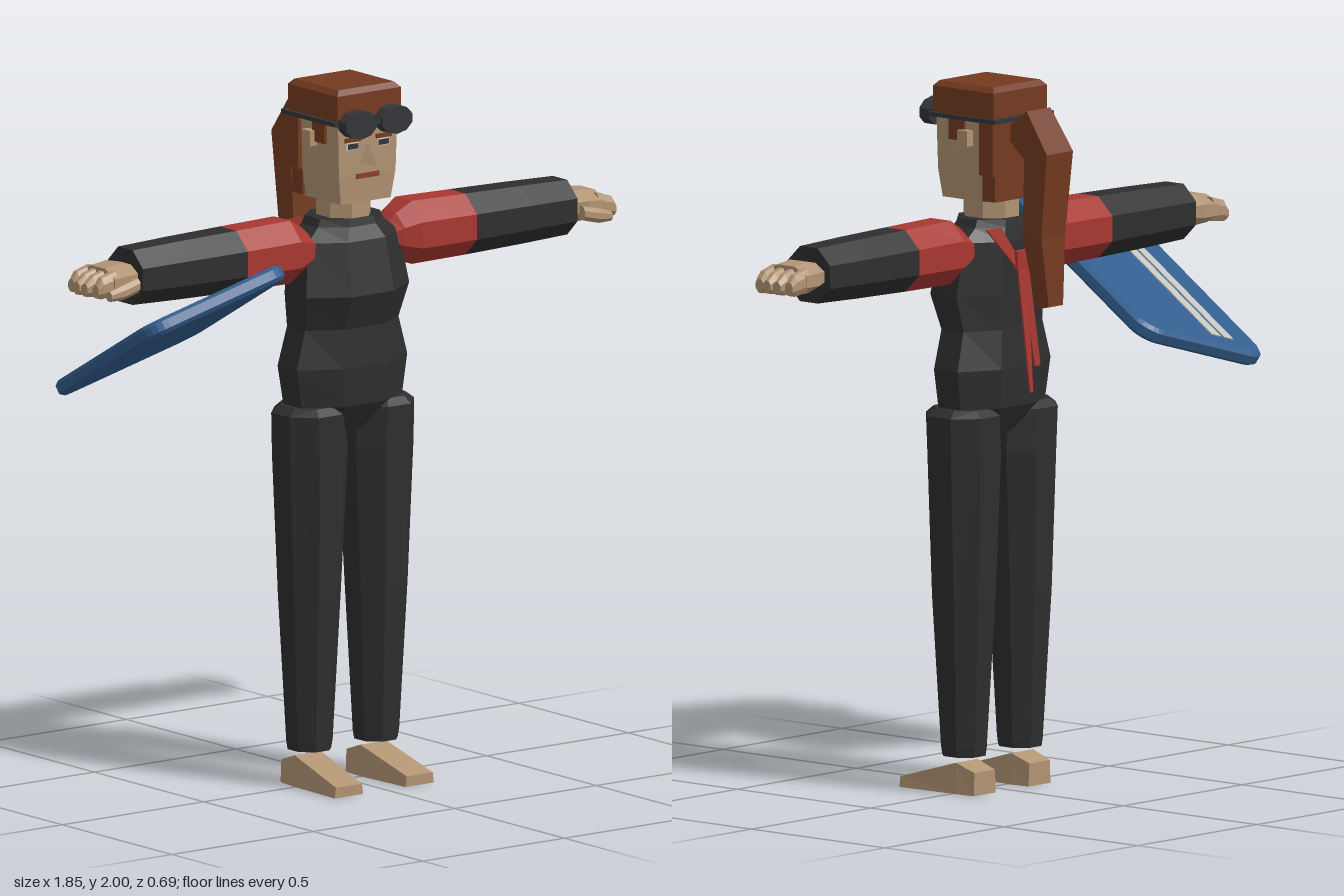
import * as THREE from 'three';

const mat = (name, color) => Object.assign(new THREE.MeshStandardMaterial({ color }), { name });
const M = {
  black: mat('blackCloth', 0x2e2e2f),
  red: mat('redCloth', 0xa83730),
  skin: mat('skin', 0xb29474),
  hair: mat('hairBrown', 0x743a20),
  blue: mat('boardBlue', 0x335e8e),
  grey: mat('stripeGrey', 0xc4c4c0),
  goggle: mat('goggleDark', 0x333538),
  mouth: mat('lipRed', 0x8c3f28),
  white: mat('eyeWhite', 0xcfcac0),
};

// Flat-shaded skin over a list of rings with equal point counts, capped at both ends
function loft(rings) {
  const tris = [], n = rings[0].length;
  for (let i = 0; i < rings.length - 1; i++)
    for (let j = 0; j < n; j++) {
      const k = (j + 1) % n, [a, b] = [rings[i], rings[i + 1]];
      tris.push([a[j], a[k], b[k]], [a[j], b[k], b[j]]);
    }
  const end = rings[rings.length - 1];
  for (let j = 1; j < n - 1; j++)
    tris.push([rings[0][0], rings[0][j + 1], rings[0][j]], [end[0], end[j], end[j + 1]]);
  // turn the faces outward whatever the ring direction
  const v = (p) => new THREE.Vector3(...p);
  let volume = 0;
  for (const [a, b, c] of tris) volume += v(a).dot(v(b).cross(v(c)));
  const pos = tris.flatMap(([a, b, c]) => (volume < 0 ? [a, c, b] : [a, b, c]).flat());
  const g = new THREE.BufferGeometry();
  g.setAttribute('position', new THREE.Float32BufferAttribute(pos, 3));
  g.computeVertexNormals();
  return g;
}

// Octagon with flat sides at +-hu and +-hv
const octagon = (hu, hv) => Array.from({ length: 8 }, (_, i) => {
  const a = (i + 0.5) * Math.PI / 4, c = Math.cos(Math.PI / 8);
  return [hu * Math.cos(a) / c, hv * Math.sin(a) / c];
});
const ringY = (y, cx, hx, zf, zb) =>
  octagon(hx, (zf - zb) / 2).map(([u, w]) => [cx + u, y, (zf + zb) / 2 + w]);
const ringX = (x, cy, hy, hz) => octagon(hy, hz).map(([u, w]) => [x, cy + u, w]);
const rectY = (y, hx, zf, zb) => [[-hx, y, zb], [hx, y, zb], [hx, y, zf], [-hx, y, zf]];

export function createModel() {
  const model = new THREE.Group();
  model.name = 'boarder';
  const body = new THREE.Group();
  body.name = 'body';
  body.position.x = -0.009;
  model.add(body);

  const add = (name, geometry, material, parent = body) => {
    const mesh = new THREE.Mesh(geometry, material);
    mesh.name = name;
    parent.add(mesh);
    return mesh;
  };
  const box = (name, material, x0, x1, y0, y1, z0, z1) => {
    const mesh = add(name, new THREE.BoxGeometry(x1 - x0, y1 - y0, z1 - z0), material);
    mesh.position.set((x0 + x1) / 2, (y0 + y1) / 2, (z0 + z1) / 2);
    return mesh;
  };

  // Torso and neck
  add('torso', loft([
    [1.01, 0.08, 0.05, -0.05], [1.09, 0.178, 0.1, -0.1], [1.2, 0.195, 0.105, -0.108],
    [1.31, 0.165, 0.1, -0.1], [1.41, 0.182, 0.138, -0.1], [1.56, 0.16, 0.11, -0.102],
    [1.598, 0.115, 0.09, -0.095], [1.62, 0.105, 0.085, -0.09],
  ].map(([y, hx, zf, zb]) => ringY(y, 0, hx, zf, zb))), M.black);
  add('neck', loft([ringY(1.59, 0, 0.072, 0.08, -0.075), ringY(1.69, 0, 0.07, 0.08, -0.075)]), M.skin);

  for (const [side, s] of [['left', 1], ['right', -1]]) {
    // Legs and feet
    add(side + 'Leg', loft([
      [1.09, 0.125, 0.07, 0.08], [1.07, 0.122, 0.098, 0.102], [0.95, 0.116, 0.102, 0.1],
      [0.55, 0.118, 0.083, 0.088], [0.13, 0.1175, 0.062, 0.063], [0.105, 0.1175, 0.058, 0.06],
    ].map(([y, cx, hx, hz]) => ringY(y, s * cx, hx, hz, -hz))), M.black);
    add(side + 'Foot', loft([
      [-0.076, 0.065, 0.115, 0.046, 0.043], [-0.01, 0.088, 0.116, 0.052, 0.046],
      [0.19, 0.03, 0.125, 0.05, 0.046],
    ].map(([z, top, cx, lo, hi]) =>
      [[s * cx - lo, 0, z], [s * cx + lo, 0, z], [s * cx + hi, top, z], [s * cx - hi, top, z]])), M.skin);

    // Sleeves
    const sleeve = (rows) => loft(rows.map(([x, cy, hy, hz]) => ringX(s * x, cy, hy, hz)));
    add(side + 'UpperSleeve', sleeve([[0.14, 1.54, 0.04, 0.06], [0.165, 1.54, 0.062, 0.072],
      [0.215, 1.541, 0.09, 0.09], [0.405, 1.54, 0.087, 0.09]]), M.red);
    add(side + 'LowerSleeve', sleeve([[0.405, 1.54, 0.087, 0.09], [0.6, 1.54, 0.083, 0.086],
      [0.768, 1.54, 0.078, 0.08]]), M.black);

    // Hands: palm, four fingers and a thumb
    add(side + 'Palm', sleeve([[0.76, 1.54, 0.035, 0.055], [0.81, 1.54, 0.045, 0.078],
      [0.865, 1.538, 0.04, 0.078]]), M.skin);
    for (let i = 0; i < 4; i++) {
      const z = -0.057 + i * 0.037, tip = 0.925 - (i === 0 || i === 3 ? 0.01 : 0);
      add(side + 'Finger', sleeve([[0.85, 1.54, 0.034, 0.019], [0.9, 1.53, 0.03, 0.019],
        [tip, 1.522, 0.018, 0.014]]).translate(0, 0, z), M.skin);
    }
    add(side + 'Thumb', sleeve([[0.785, 1.528, 0.02, 0.016], [0.84, 1.515, 0.021, 0.02],
      [0.885, 1.508, 0.014, 0.014]]).translate(0, 0, 0.076), M.skin);

    // Ears, sideburns and eyes
    const mirrorBox = (name, material, x0, x1, ...rest) =>
      box(side + name, material, Math.min(s * x0, s * x1), Math.max(s * x0, s * x1), ...rest);
    mirrorBox('Ear', M.skin, 0.09, 0.128, 1.828, 1.872, -0.022, 0.016);
    mirrorBox('Sideburn', M.hair, 0.09, 0.112, 1.84, 1.91, 0.005, 0.062);
    mirrorBox('Brow', M.hair, 0.028, 0.082, 1.848, 1.86, 0.11, 0.119);
    mirrorBox('Eye', M.white, 0.032, 0.076, 1.826, 1.848, 0.11, 0.1165);
    mirrorBox('Iris', M.goggle, 0.036, 0.072, 1.828, 1.843, 0.112, 0.1185);

    // Goggle cups
    const cup = new THREE.CylinderGeometry(0.056, 0.056, 0.036, 10).toNonIndexed();
    cup.computeVertexNormals();
    cup.rotateX(Math.PI / 2).scale(1, 0.72, 1);
    add(side + 'GoggleCup', cup, M.goggle).position.set(s * 0.063, 1.905, 0.15);
    mirrorBox('GoggleMount', M.goggle, 0.05, 0.11, 1.895, 1.918, 0.115, 0.135);
  }

  // Head
  add('head', loft([rectY(1.67, 0.088, 0.105, -0.06), rectY(1.75, 0.1, 0.112, -0.06),
    rectY(1.91, 0.105, 0.114, -0.06)]), M.skin);
  add('nose', loft([[[-0.006, 1.836, 0.112], [0.006, 1.836, 0.112], [0, 1.836, 0.12]],
    [[-0.028, 1.78, 0.11], [0.028, 1.78, 0.11], [0, 1.78, 0.157]]]), M.skin);
  box('mouth', M.mouth, -0.04, 0.04, 1.74, 1.754, 0.108, 0.1165);

  // Hair
  add('hairCap', loft([rectY(1.905, 0.112, 0.121, -0.106), rectY(1.985, 0.112, 0.121, -0.106),
    rectY(2.0, 0.098, 0.108, -0.093)]), M.hair);
  box('upperBackHair', M.hair, -0.115, 0.115, 1.75, 1.91, -0.106, -0.055);
  box('lowerBackHair', M.hair, -0.1, 0.1, 1.675, 1.76, -0.102, -0.055);
  add('ponytail', loft([
    [-0.095, 1.85, -0.1, 1.885, 0.04], [-0.165, 1.8, -0.175, 1.935, 0.05],
    [-0.17, 1.78, -0.255, 1.82, 0.055], [-0.16, 1.58, -0.23, 1.58, 0.05],
    [-0.195, 1.375, -0.24, 1.385, 0.03],
  ].map(([zi, yi, zo, yo, h]) => [[-h, yi, zi], [h, yi, zi], [h, yo, zo], [-h, yo, zo]])), M.hair);

  // Goggle strap and bridge
  box('goggleStrap', M.goggle, -0.124, 0.124, 1.9, 1.912, -0.122, 0.126);
  box('goggleBridge', M.goggle, -0.02, 0.02, 1.898, 1.915, 0.138, 0.16);

  // Scarf on the back: two bands meeting at a knot, with two hanging tails
  const ribbon = (name, x0, y0, z0, h0, x1, y1, z1, h1) => add(name, loft([[x0, y0, z0, h0], [x1, y1, z1, h1]]
    .map(([x, y, z, h]) => [[x - h, y, z], [x + h, y, z], [x + h, y, z - 0.006], [x - h, y, z - 0.006]])), M.red);
  for (const s of [1, -1]) ribbon('scarfBand', s * 0.1, 1.6, -0.092, 0.03, s * 0.012, 1.49, -0.106, 0.016);
  box('scarfKnot', M.red, -0.025, 0.025, 1.48, 1.53, -0.118, -0.1);
  ribbon('longScarfTail', 0, 1.5, -0.108, 0.02, -0.008, 1.13, -0.137, 0.006);
  ribbon('shortScarfTail', -0.01, 1.5, -0.108, 0.016, -0.045, 1.2, -0.126, 0.012);

  // Tilted board under the right hand
  const board = new THREE.Group();
  board.name = 'board';
  const across = new THREE.Vector3(0.956, 0.276, 0.096).normalize();
  const up = new THREE.Vector3(-0.2125, 0.418, 0.883).cross(across).normalize();
  const along = across.clone().cross(up);
  board.quaternion.setFromRotationMatrix(new THREE.Matrix4().makeBasis(across, up, along));
  board.position.set(-0.617, 1.362, -0.002);
  model.add(board);
  const w = 0.232, l = 0.355, r = 0.06, shape = new THREE.Shape();
  [[w - r, r - l, -0.5], [w - r, l - r, 0], [r - w, l - r, 0.5], [r - w, r - l, 1]].forEach(([x, y, a]) =>
    shape.absarc(x, y, r, a * Math.PI, (a + 0.5) * Math.PI, false));
  const slab = new THREE.ExtrudeGeometry(shape, {
    depth: 0.025, bevelThickness: 0.01, bevelSize: 0.012, bevelSegments: 1, curveSegments: 3,
  }).translate(0, 0, -0.0125).rotateX(-Math.PI / 2);
  add('boardSlab', slab, M.blue, board);
  for (const x of [-0.119, -0.07])
    add('boardStripe', new THREE.BoxGeometry(0.036, 0.004, 0.61), M.grey, board).position.set(x, 0.0235, -0.002);

  return model;
}
